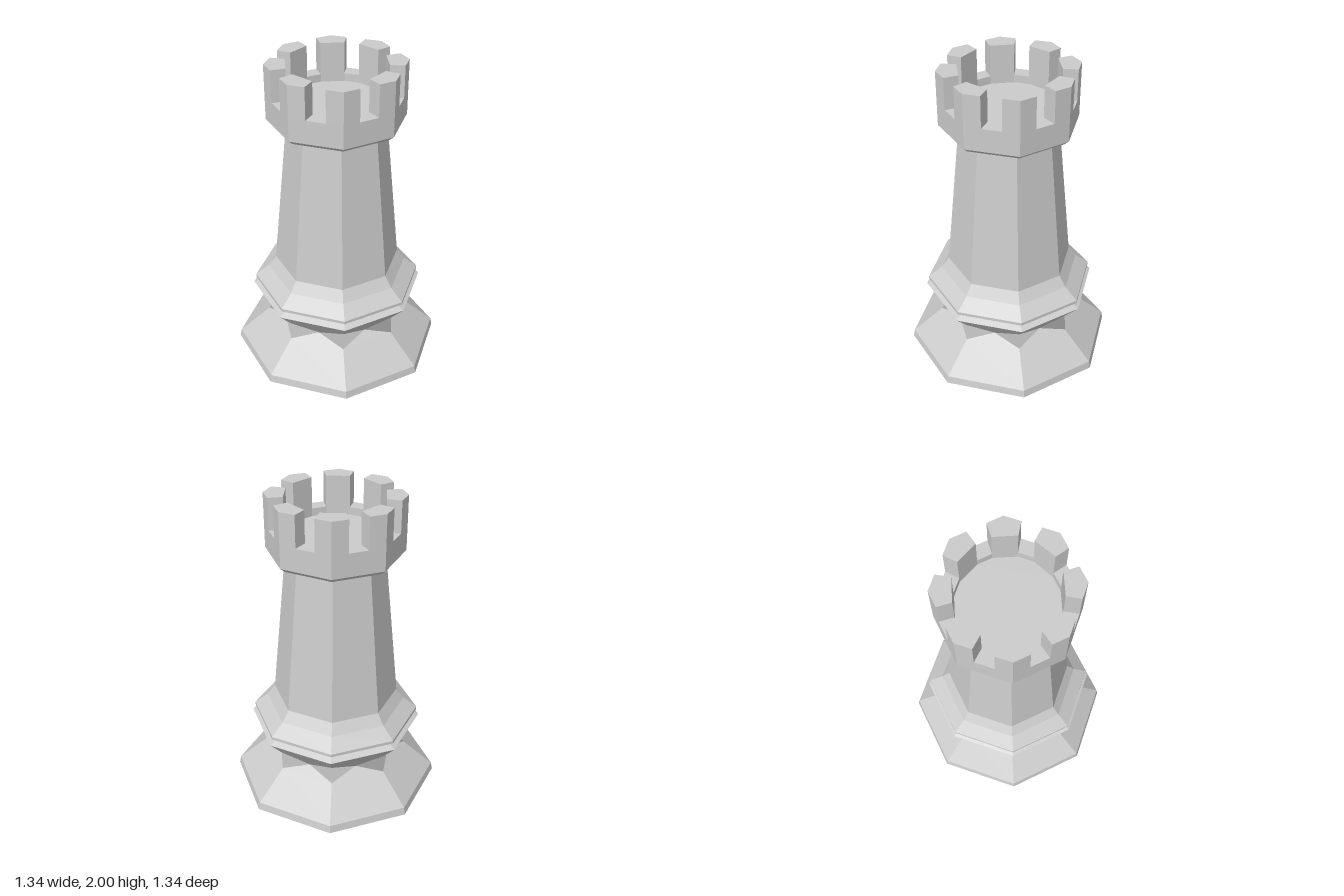
import * as THREE from 'three';

const SIDES = 8;
const STEP = (Math.PI * 2) / SIDES;
const flatMat = new THREE.MeshStandardMaterial({ color: 0xcccccc, flatShading: true });
const facetMat = new THREE.MeshStandardMaterial({ color: 0xcccccc });

function addMesh(group, name, geometry, material = flatMat) {
  const mesh = new THREE.Mesh(geometry, material);
  mesh.name = name;
  group.add(mesh);
  return mesh;
}

// Octagonal turned part with corners on the axes
function turned(points) {
  return new THREE.LatheGeometry(points.map(([r, y]) => new THREE.Vector2(r, y)), SIDES);
}

// Polygons fanned from their first corner, each with one averaged normal
function facets(polygons) {
  const positions = [];
  const normals = [];
  for (const poly of polygons) {
    const normal = new THREE.Vector3();
    poly.forEach((p, i) => {
      normal.add(new THREE.Vector3().crossVectors(p, poly[(i + 1) % poly.length]));
    });
    normal.normalize();
    for (let i = 1; i < poly.length - 1; i++) {
      for (const p of [poly[0], poly[i], poly[i + 1]]) {
        positions.push(p.x, p.y, p.z);
        normals.push(normal.x, normal.y, normal.z);
      }
    }
  }
  const geometry = new THREE.BufferGeometry();
  geometry.setAttribute('position', new THREE.Float32BufferAttribute(positions, 3));
  geometry.setAttribute('normal', new THREE.Float32BufferAttribute(normals, 3));
  return geometry;
}

// Sloping foot, pinched waist with diamond facets, and flaring collar underside
function waistGeometry() {
  const ring = (r, y, turn = 0) => (i) => {
    const a = (i + turn) * STEP;
    return new THREE.Vector3(r * Math.sin(a), y, r * Math.cos(a));
  };
  const foot = ring(0.662, 0.05);
  const low = ring(0.462, 0.228);
  const pinch = ring(0.386, 0.291, 0.5);
  const high = ring(0.462, 0.355);
  const flare = ring(0.553, 0.46);
  const polygons = [];
  for (let i = 0; i < SIDES; i++) {
    polygons.push([low(i), foot(i), foot(i + 1), low(i + 1), pinch(i)]);
    polygons.push([pinch(i - 1), low(i), pinch(i), high(i)]);
    polygons.push([high(i), pinch(i), high(i + 1), flare(i + 1), flare(i)]);
  }
  return facets(polygons);
}

// Plan outline extruded upward from a given height
function upright(shape, bottom, top) {
  const geometry = new THREE.ExtrudeGeometry(shape, { depth: top - bottom, bevelEnabled: false });
  geometry.rotateX(-Math.PI / 2);
  geometry.translate(0, bottom, 0);
  return geometry;
}

export function createModel() {
  const model = new THREE.Group();
  model.name = 'rook';

  addMesh(model, 'basePlinth', turned([[0, 0], [0.672, 0], [0.662, 0.05]]));
  addMesh(model, 'waist', waistGeometry(), facetMat);
  addMesh(model, 'collar', turned([
    [0.553, 0.46], [0.505, 0.485], [0.537, 0.5], [0.537, 0.52], [0.45, 0.59], [0.4, 0.66],
  ]));
  addMesh(model, 'shaft', turned([[0.4, 0.66], [0.306, 1.605]]));
  addMesh(model, 'headUnderside', turned([[0.306, 1.605], [0.392, 1.628], [0.422, 1.655]]));

  // Crown: octagon outside, sixteen-sided well inside
  const R = 0.422;
  const INNER = 0.305;
  const half = THREE.MathUtils.degToRad(13.8);
  const polar = (r, a) => new THREE.Vector2(r * Math.cos(a), r * Math.sin(a));
  const outer = [];
  const well = [];
  for (let i = 0; i < SIDES; i++) {
    outer.push(polar(R, i * STEP));
    well.push(polar(INNER, i * STEP - half), polar(INNER, i * STEP + half));
  }
  const rim = new THREE.Shape(outer);
  rim.holes.push(new THREE.Path(well));
  addMesh(model, 'crownRim', upright(rim, 1.655, 1.8));

  const floor = new THREE.ShapeGeometry(new THREE.Shape(well));
  floor.rotateX(-Math.PI / 2);
  floor.translate(0, 1.75, 0);
  addMesh(model, 'crownFloor', floor);

  // Battlements wrap the corners, leaving a slot in the middle of each side
  const edge = (R * Math.cos(STEP / 2)) / Math.cos(STEP / 2 - half);
  const merlon = upright(new THREE.Shape([
    polar(INNER, -half), polar(edge, -half), polar(R, 0), polar(edge, half), polar(INNER, half),
  ]), 1.8, 2);
  for (let i = 0; i < SIDES; i++) {
    addMesh(model, 'battlement', merlon).rotation.y = i * STEP;
  }

  return model;
}
